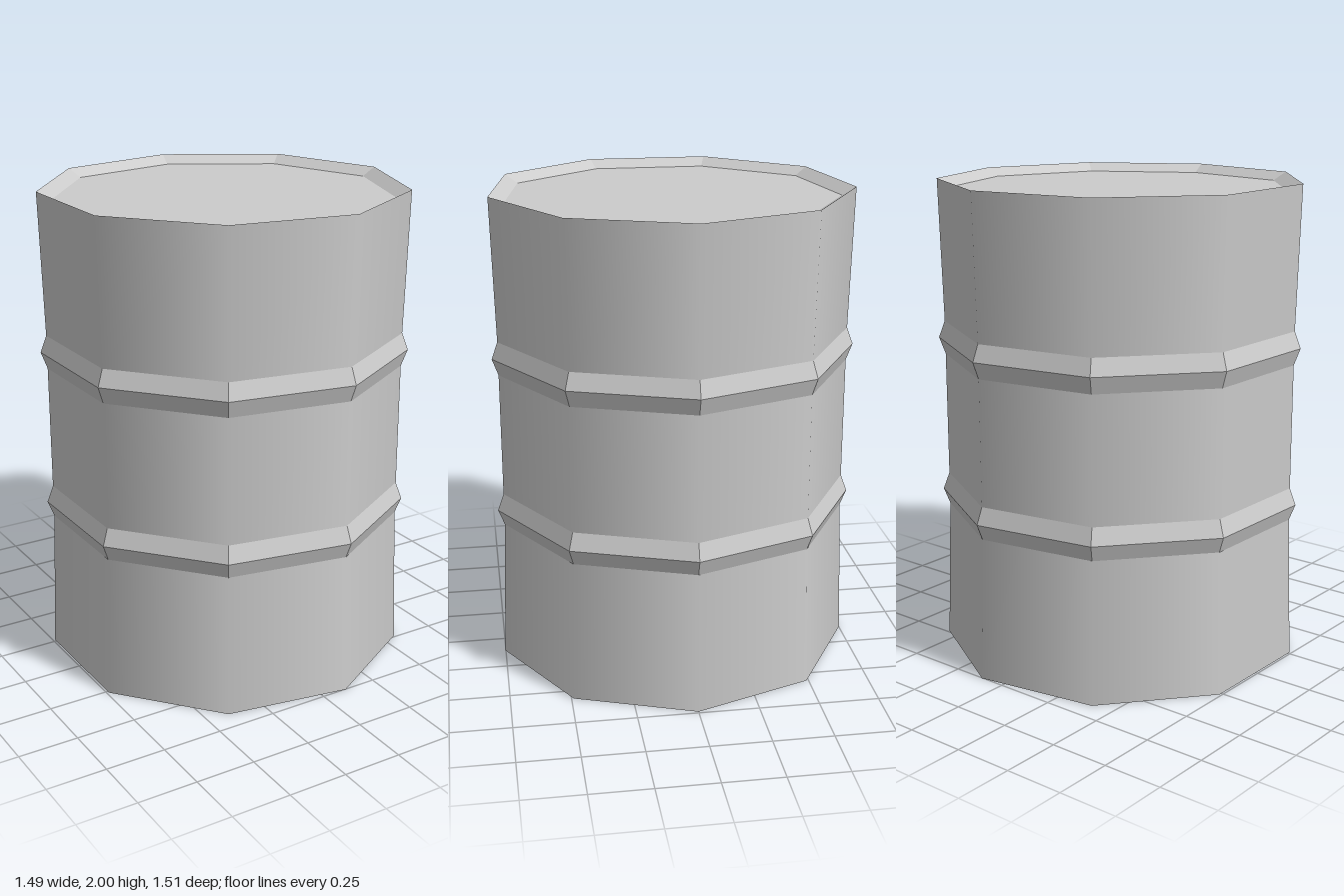
import * as THREE from 'three';

const SIDES = 9;
const CENTRE_X = -0.023; // a nine-sided ring reaches further toward its +x corner
const smooth = new THREE.MeshStandardMaterial({ color: 0xcccccc });
const flat = new THREE.MeshStandardMaterial({ color: 0xcccccc, flatShading: true });
const flatDouble = new THREE.MeshStandardMaterial({ color: 0xcccccc, flatShading: true, side: THREE.DoubleSide });

export function createModel() {
  const barrel = new THREE.Group();
  barrel.name = 'barrel';
  const axis = new THREE.Group();
  axis.name = 'drum';
  axis.position.x = CENTRE_X;
  barrel.add(axis);

  // Open nine-sided ring between two heights, with a corner on +x
  function ring(name, y0, r0, y1, r1, material) {
    const geometry = new THREE.CylinderGeometry(r1, r0, y1 - y0, SIDES, 1, true, Math.PI / 2);
    const mesh = new THREE.Mesh(geometry, material);
    mesh.name = name;
    mesh.position.y = (y0 + y1) / 2;
    axis.add(mesh);
  }

  // Flat nine-sided disc, facing up or down
  function disc(name, y, r, facing) {
    const mesh = new THREE.Mesh(new THREE.CircleGeometry(r, SIDES), flat);
    mesh.name = name;
    mesh.rotation.x = -facing * Math.PI / 2;
    mesh.position.y = y;
    axis.add(mesh);
  }

  // Smooth walls, slightly flared at both ends
  const waist = 0.743;
  ring('lowerWall', 0, 0.764, 0.6, waist, smooth);
  ring('middleWall', 0.738, waist, 1.264, waist, smooth);
  ring('upperWall', 1.405, waist, 2, 0.758, smooth);

  // Two faceted rolling hoops
  for (const [name, bottom, ridge, top] of [['lowerHoop', 0.6, 0.667, 0.738], ['upperHoop', 1.264, 1.335, 1.405]]) {
    ring(name + 'Underside', bottom, waist, ridge, 0.769, flat);
    ring(name + 'Topside', ridge, 0.769, top, waist, flat);
  }

  // Sunken lid with sloped rim, and closed base
  ring('rimSlope', 1.965, 0.7, 2, 0.758, flatDouble);
  disc('lid', 1.965, 0.7, 1);
  disc('base', 0, 0.764, -1);

  return barrel;
}
